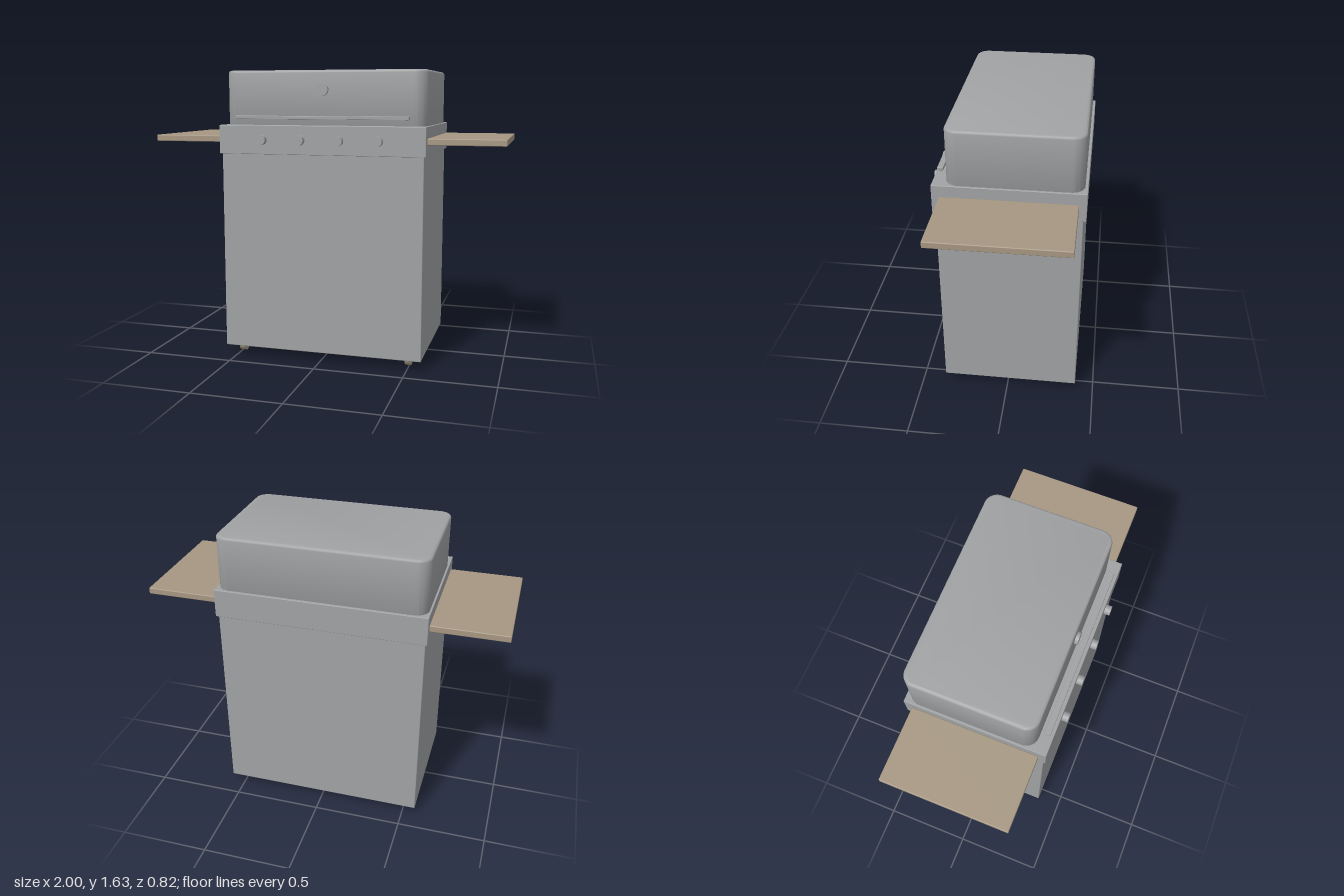
import * as THREE from 'three';
import { toCreasedNormals } from 'three/addons/utils/BufferGeometryUtils.js';
import { RoundedBoxGeometry } from 'three/addons/geometries/RoundedBoxGeometry.js';

const steel = new THREE.MeshStandardMaterial({ name: 'steel grey', color: 0xa0a2a4 });
const tan = new THREE.MeshStandardMaterial({ name: 'warm tan', color: 0xa69782 });

export function createModel() {
  const grill = new THREE.Group();
  grill.name = 'grill';

  function add(name, geometry, material, x = 0, y = 0, z = 0) {
    const mesh = new THREE.Mesh(geometry, material);
    mesh.name = name;
    mesh.position.set(x, y, z);
    grill.add(mesh);
    return mesh;
  }

  // Box given by its limits on each axis, with softened edges
  function block(name, material, [x0, x1], [y0, y1], [z0, z1], r) {
    const geometry = new RoundedBoxGeometry(x1 - x0, y1 - y0, z1 - z0, 3, r);
    return add(name, geometry, material, (x0 + x1) / 2, (y0 + y1) / 2, (z0 + z1) / 2);
  }

  // Disc facing forward, from z0 to z1
  function disc(name, radius, x, y, z0, z1) {
    const geometry = new THREE.CylinderGeometry(radius, radius, z1 - z0, 32);
    geometry.rotateX(Math.PI / 2);
    add(name, geometry, steel, x, y, (z0 + z1) / 2);
  }

  // Rounded rectangle outline centred on the origin
  function roundedRect(w, d, r) {
    const s = new THREE.Shape();
    const x = w / 2, y = d / 2;
    s.absarc(x - r, y - r, r, 0, Math.PI / 2);
    s.absarc(-x + r, y - r, r, Math.PI / 2, Math.PI);
    s.absarc(-x + r, -y + r, r, Math.PI, Math.PI * 1.5);
    s.absarc(x - r, -y + r, r, Math.PI * 1.5, Math.PI * 2);
    s.closePath();
    return s;
  }

  // Cabinet and the wider firebox above it
  block('cabinet', steel, [-0.575, 0.575], [0.046, 1.18], [-0.397, 0.367], 0.005);
  block('firebox', steel, [-0.586, 0.586], [1.17, 1.33], [-0.412, 0.38], 0.003);

  // Lid with round corners and a softened top; its lower bevel sits in the firebox
  const bevel = 0.015;
  const lid = new THREE.ExtrudeGeometry(roundedRect(1.15 - 2 * bevel, 0.708 - 2 * bevel, 0.055), {
    depth: 0.32 - 2 * bevel, bevelEnabled: true, bevelThickness: bevel,
    bevelSize: bevel, bevelSegments: 4, curveSegments: 10,
  });
  lid.rotateX(-Math.PI / 2);
  add('lid', toCreasedNormals(lid, 0.7), steel, 0, 1.312 + bevel, -0.043);

  // Lid gauge and handle bar
  disc('gauge', 0.034, 0, 1.525, 0.3, 0.329);
  block('handle', steel, [-0.49, 0.49], [1.364, 1.382], [0.332, 0.363], 0.002);

  // Control knobs
  for (const x of [-0.329, -0.11, 0.11, 0.329]) disc('knob', 0.027, x, 1.25, 0.37, 0.413);

  // Side shelves and wheels
  for (const side of [-1, 1]) {
    const shelfX = side > 0 ? [0.585, 1] : [-1, -0.585];
    block('sideShelf', tan, shelfX, [1.232, 1.268], [-0.372, 0.34], 0.005);
    for (const z of [-0.317, 0.287]) {
      const wheel = new THREE.CylinderGeometry(0.04, 0.04, 0.034, 32);
      wheel.rotateZ(Math.PI / 2);
      add('wheel', wheel, tan, side * 0.494, 0.04, z);
    }
  }
  return grill;
}
